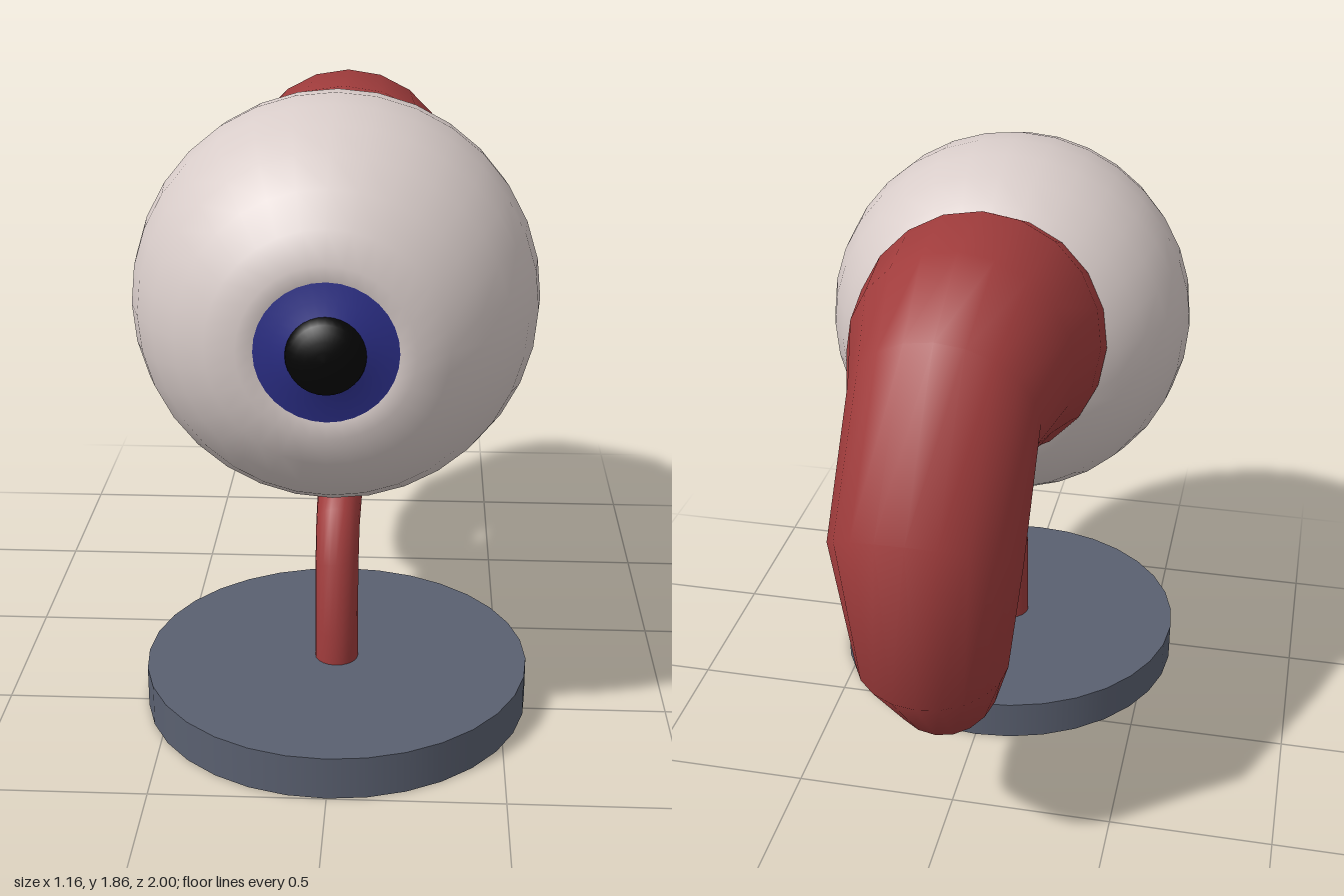
import * as THREE from 'three';

const mat = (color, side = THREE.FrontSide) => new THREE.MeshStandardMaterial({ color, side });

const EYE_Y = 1.285, EYE_Z = 0.42, EYE_R = 0.577;

// Turned part whose axis points to the front; profile is [radius, z] from back to front
function turned(name, profile, color) {
  const geo = new THREE.LatheGeometry(profile.map(([r, z]) => new THREE.Vector2(r, z)), 32);
  geo.rotateX(Math.PI / 2);
  const mesh = new THREE.Mesh(geo, mat(color, THREE.DoubleSide));
  mesh.name = name;
  mesh.position.set(0, EYE_Y, EYE_Z);
  return mesh;
}

// Swept stalk; each ring is two opposite points in the side plane plus a half width:
// [zA, yA, zB, yB, halfWidth]
function stalkGeometry(rings, sides) {
  const pos = [], index = [];
  rings.forEach(([zA, yA, zB, yB, w], i) => {
    for (let j = 0; j < sides; j++) {
      const t = (j / sides) * Math.PI * 2, c = Math.cos(t);
      pos.push(
        Math.sin(t) * w,
        (yA + yB) / 2 + c * (yA - yB) / 2,
        (zA + zB) / 2 + c * (zA - zB) / 2
      );
      if (i < rings.length - 1) {
        const a = i * sides + j, b = i * sides + (j + 1) % sides;
        index.push(a, b, b + sides, a, b + sides, a + sides);
      }
    }
  });
  const geo = new THREE.BufferGeometry();
  geo.setAttribute('position', new THREE.Float32BufferAttribute(pos, 3));
  geo.setIndex(index);
  geo.computeVertexNormals();
  return geo;
}

export function createModel() {
  const model = new THREE.Group();
  model.name = 'eyeOnStalk';

  // Round base
  const base = new THREE.Mesh(new THREE.CylinderGeometry(0.578, 0.578, 0.127, 32), mat(0x5a6070));
  base.name = 'base';
  base.position.set(0, 0.0635, EYE_Z);
  model.add(base);

  // Eyeball: sphere with a flattened front that dips towards the iris
  const ball = [];
  for (let i = 0; i <= 14; i++) {
    const a = (i / 16) * Math.PI;
    ball.push([Math.sin(a) * EYE_R, -Math.cos(a) * EYE_R]);
  }
  ball[14] = [0.235, 0.514];
  ball.push([0.19, 0.505]);
  model.add(turned('eyeball', ball, 0xd8ccc9));

  // Iris ring and domed pupil
  model.add(turned('iris', [[0.19, 0.505], [0.145, 0.514], [0.105, 0.527]], 0x2c2f88));
  const pupil = [];
  for (let i = 0; i <= 6; i++) {
    const a = (1 - i / 6) * Math.PI / 2;
    pupil.push([Math.sin(a) * 0.106, 0.524 + Math.cos(a) * 0.056]);
  }
  model.add(turned('pupil', pupil, 0x050505));

  // Stalk: rises from the base, loops behind and widens into the eyeball
  const rings = [
    [0.49, 0.12, 0.36, 0.12, 0.065],
    [0.488, 0.22, 0.36, 0.22, 0.065],
    [0.46, 0.45, 0.35, 0.39, 0.065],
    [0.37, 0.595, 0.316, 0.457, 0.066],
    [0.166, 0.676, 0.177, 0.522, 0.07],
    [-0.118, 0.671, -0.032, 0.51, 0.08],
    [-0.327, 0.585, -0.32, 0.34, 0.115],
    [-0.4, 0.57, -0.504, 0.35, 0.135],
    [-0.46, 0.655, -0.707, 0.414, 0.17],
    [-0.51, 0.73, -0.932, 0.671, 0.22],
    [-0.552, 0.922, -0.997, 1.233, 0.27],
    [-0.466, 1.14, -0.648, 1.65, 0.272],
    [-0.354, 1.126, -0.354, 1.789, 0.33],
    [-0.22, 1.075, -0.043, 1.794, 0.37],
    [-0.107, 1.024, 0.075, 1.746, 0.372]
  ];
  const stalk = new THREE.Mesh(stalkGeometry(rings, 20), mat(0xa03c3c, THREE.DoubleSide));
  stalk.name = 'stalk';
  model.add(stalk);

  return model;
}
